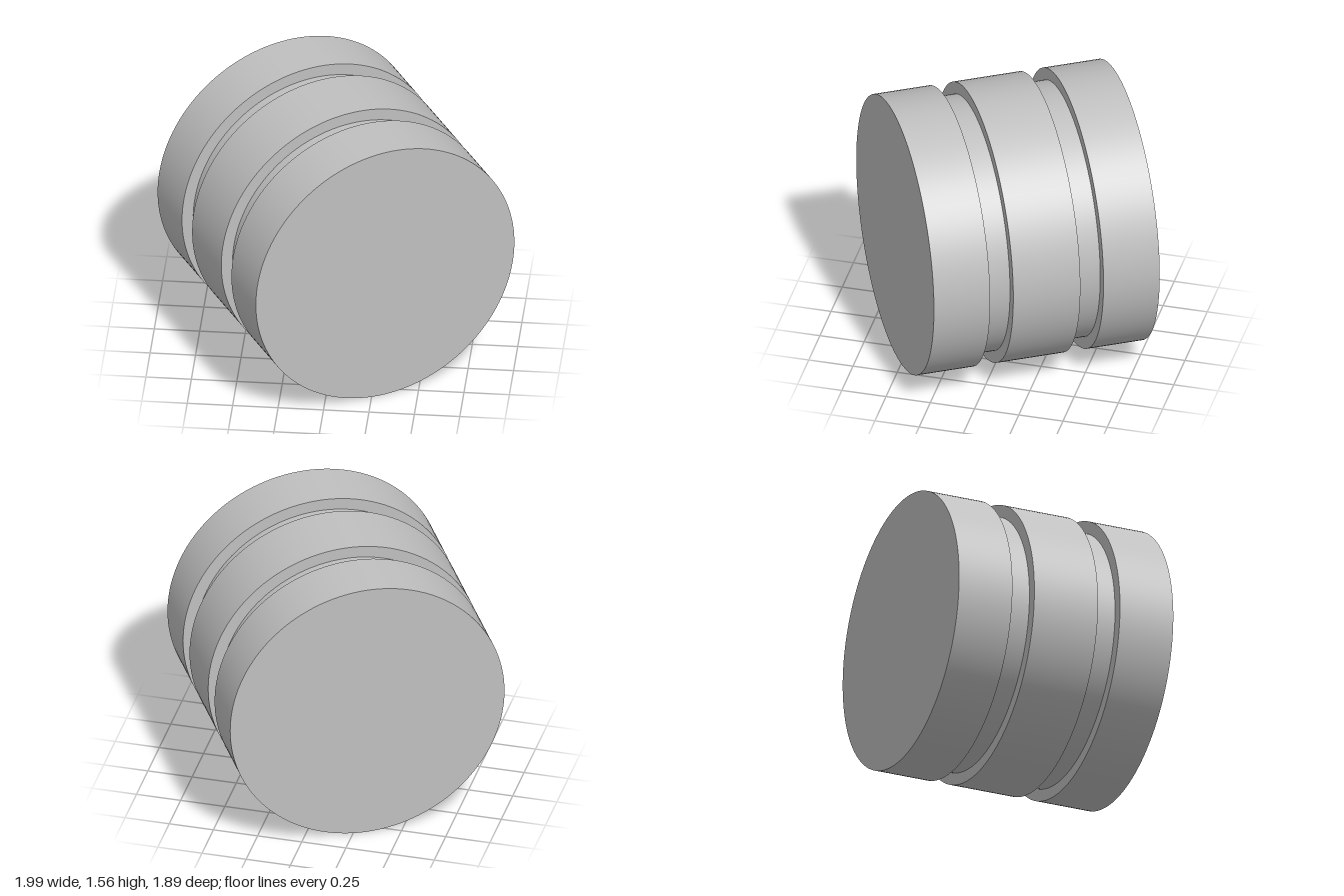
import * as THREE from 'three';

const RADIUS = 0.78, CORE_RADIUS = 0.713, SEGMENTS = 128;

export function createModel() {
  const model = new THREE.Group();
  model.name = 'groovedCylinder';
  const grey = new THREE.MeshStandardMaterial({ color: 0xc0c0c0 });
  grey.name = 'grey';

  // A round section along the z axis, from z0 to z1
  const section = (name, radius, z0, z1, open = false) => {
    const geometry = new THREE.CylinderGeometry(radius, radius, z1 - z0, SEGMENTS, 1, open);
    geometry.rotateX(Math.PI / 2);
    const mesh = new THREE.Mesh(geometry, grey);
    mesh.name = name;
    mesh.position.z = (z0 + z1) / 2;
    model.add(mesh);
  };

  // Three wide bands
  section('backBand', RADIUS, -0.643, -0.323);
  section('middleBand', RADIUS, -0.191, 0.191);
  section('frontBand', RADIUS, 0.323, 0.643);

  // Groove floors between the bands
  section('backGroove', CORE_RADIUS, -0.323, -0.191, true);
  section('frontGroove', CORE_RADIUS, 0.191, 0.323, true);

  // Lying on its side, axis turned 30 degrees from the front
  model.rotation.y = Math.PI / 6;
  model.position.y = RADIUS;
  return model;
}
